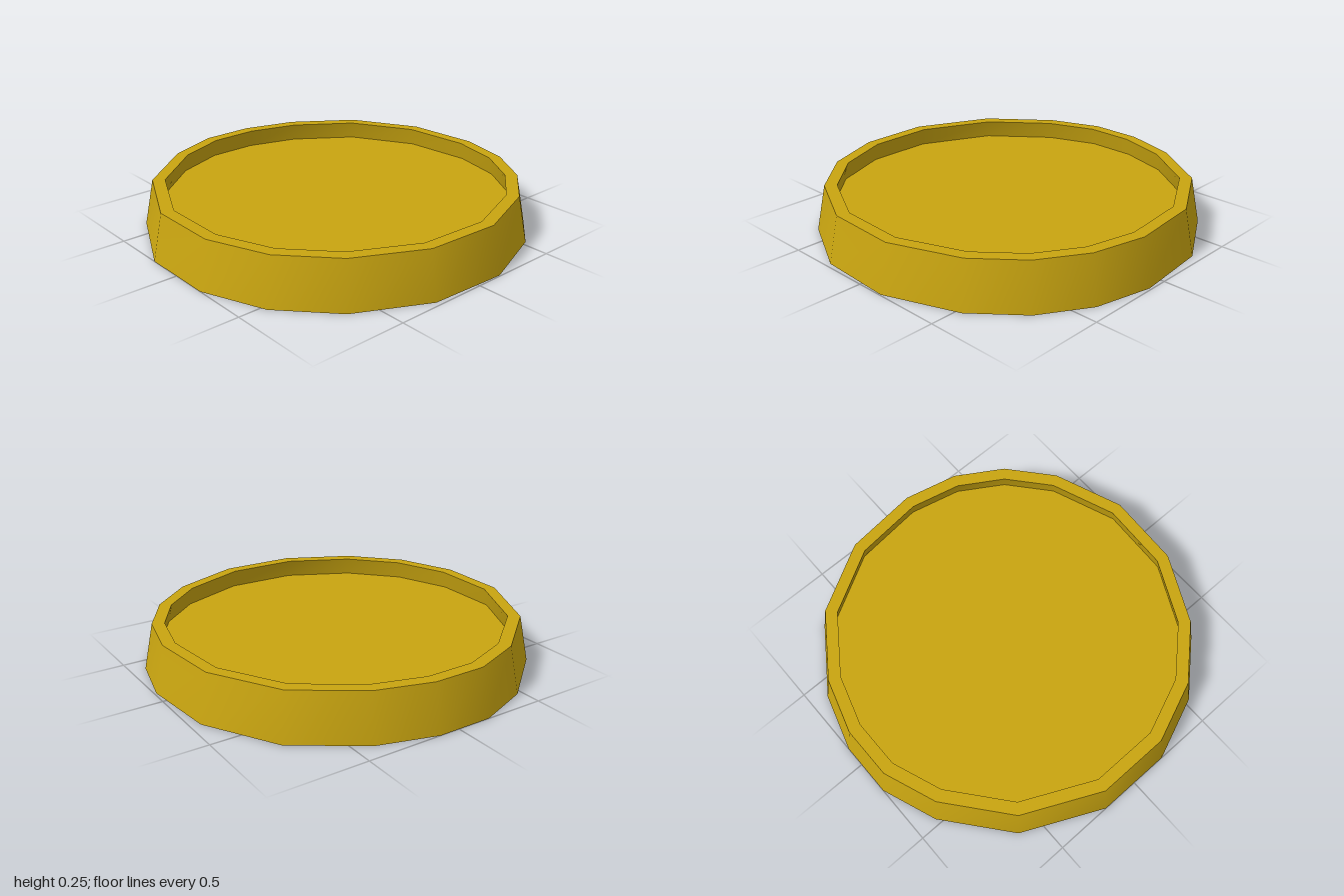
import * as THREE from 'three';

// Irregular 17-sided outline of the foot, as x, z pairs
const OUTLINE = [
  [-1, -0.2], [-0.8, -0.62], [-0.47, -0.89], [-0.18, -1], [0.11, -1], [0.41, -0.91],
  [0.74, -0.68], [0.95, -0.31], [0.99, 0.1], [0.92, 0.4], [0.765, 0.65], [0.53, 0.85],
  [0.147, 0.995], [-0.265, 0.975], [-0.63, 0.79], [-0.87, 0.53], [-1, 0.2],
];

const material = new THREE.MeshStandardMaterial({ color: 0xc8a410 });

// Band between two scaled copies of the outline; smooth around, sharp at its edges
function band(name, [scale0, y0], [scale1, y1]) {
  const n = OUTLINE.length;
  const positions = [];
  const index = [];
  for (const [s, y] of [[scale0, y0], [scale1, y1]]) {
    for (const [x, z] of OUTLINE) positions.push(x * s, y, z * s);
  }
  for (let i = 0; i < n; i++) {
    const j = (i + 1) % n;
    if (scale0 > 0) index.push(i, n + i, j);
    if (scale1 > 0) index.push(j, n + i, n + j);
  }
  const geometry = new THREE.BufferGeometry();
  geometry.setAttribute('position', new THREE.Float32BufferAttribute(positions, 3));
  geometry.setIndex(index);
  geometry.computeVertexNormals();
  const mesh = new THREE.Mesh(geometry, material);
  mesh.name = name;
  return mesh;
}

export function createModel() {
  const model = new THREE.Group();
  model.name = 'shallowTray';

  // Corners of the cross-section: [outline scale, height]
  const outerBottom = [1, 0], outerTop = [0.95, 0.245];
  const innerTop = [0.885, 0.245], innerBottom = [0.94, 0];
  const floorEdge = [0.906, 0.147], undersideEdge = [0.914, 0.118];

  // Sloping rim wall
  const rim = new THREE.Group();
  rim.name = 'rim';
  rim.add(
    band('outerWall', outerBottom, outerTop),
    band('rimTop', outerTop, innerTop),
    band('upperInnerWall', innerTop, floorEdge),
    band('lowerInnerWall', undersideEdge, innerBottom),
    band('rimBottom', innerBottom, outerBottom),
  );

  // Recessed floor panel
  const floor = new THREE.Group();
  floor.name = 'floor';
  floor.add(
    band('floorTop', floorEdge, [0, floorEdge[1]]),
    band('floorUnderside', [0, undersideEdge[1]], undersideEdge),
  );

  model.add(rim, floor);
  return model;
}
